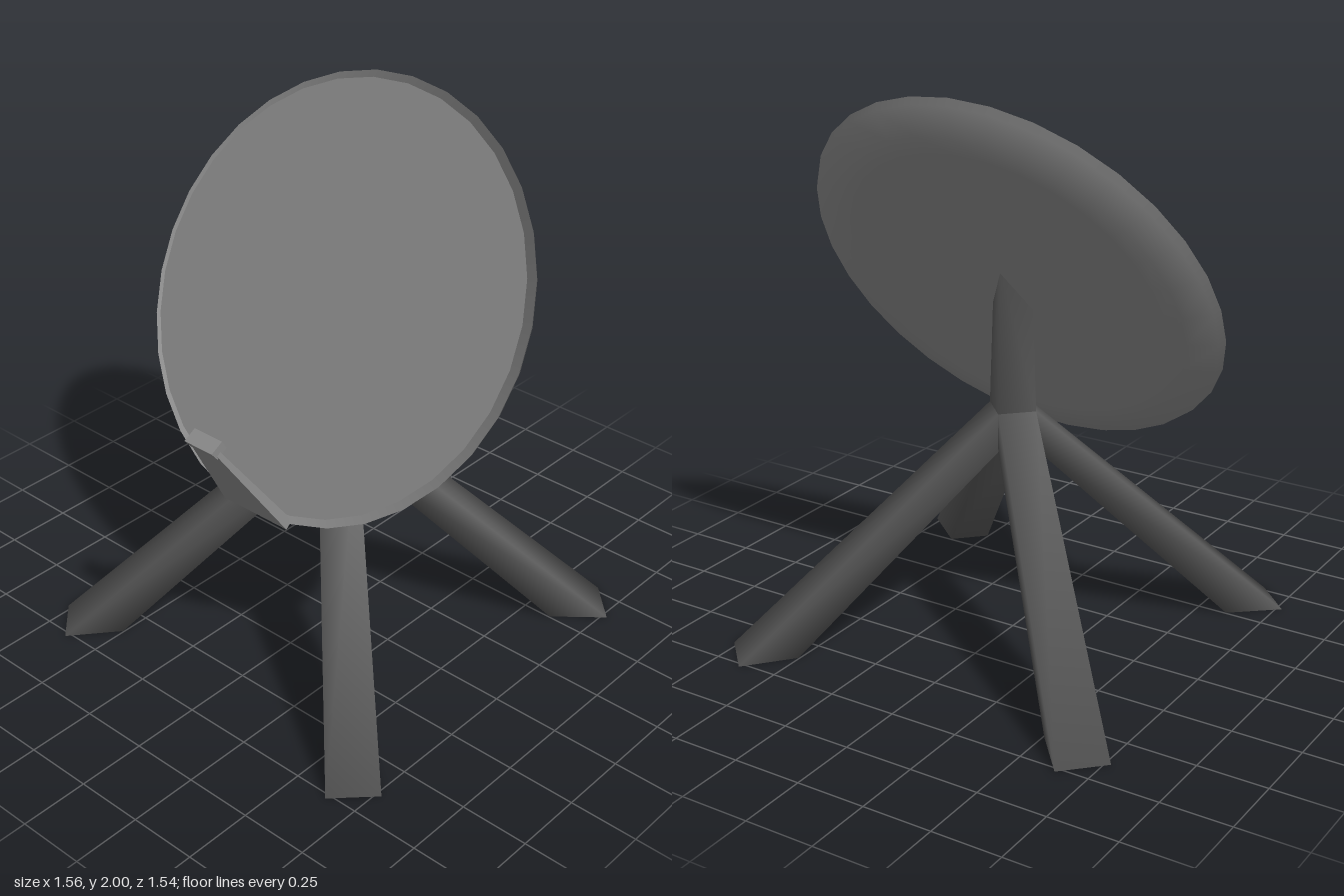
import * as THREE from 'three';
import { ConvexGeometry } from 'three/addons/geometries/ConvexGeometry.js';
import { mergeVertices } from 'three/addons/utils/BufferGeometryUtils.js';

const TILT = 1.038;                       // dish axis, leaning back from vertical
const CENTRE = { y: 1.334, z: 0.025 };    // middle of the dish face
const dishGrey = new THREE.MeshStandardMaterial({ color: 0x888888 });
const standGrey = new THREE.MeshStandardMaterial({ color: 0x555555 });

// Solid through mirrored cross-section points [halfWidth, y, z]
function solid(points) {
  const corners = points.flatMap(([w, y, z]) => [
    new THREE.Vector3(w, y, z), new THREE.Vector3(-w, y, z),
  ]);
  return new ConvexGeometry(corners);
}

// Share corners so the shading runs softly around the edges
function softened(geometry) {
  geometry.deleteAttribute('normal');
  const merged = mergeVertices(geometry);
  merged.computeVertexNormals();
  return merged;
}

function add(parent, name, geometry, material) {
  const mesh = new THREE.Mesh(geometry, material);
  mesh.name = name;
  parent.add(mesh);
  return mesh;
}

// Height of the plane lying a given depth behind the dish face
function dishHeight(z, depth) {
  return CENTRE.y + ((CENTRE.z - z) * Math.sin(TILT) - depth) / Math.cos(TILT);
}

// Back and rim of the dish; the rim shades on from the back up to the face
function shellGeometry() {
  const profile = [
    [0, -0.082], [0.6, -0.08], [0.665, -0.077],
    [0.765, -0.038], [0.778, -0.012], [0.75, 0],
  ].map(([r, y]) => new THREE.Vector2(r, y));
  const geometry = new THREE.LatheGeometry(profile, 32);
  const normal = geometry.attributes.normal;
  const last = profile.length - 1;
  for (let i = last; i < normal.count; i += profile.length) {
    const x = normal.getX(i - 2), y = normal.getY(i - 2), z = normal.getZ(i - 2);
    normal.setXYZ(i - 1, x, y, z);
    normal.setXYZ(i, x, y, z);
  }
  return geometry;
}

export function createModel() {
  const model = new THREE.Group();
  model.name = 'dishAntenna';

  // Dish: flat face in a thin shell with a bevelled rim
  const dish = new THREE.Group();
  dish.name = 'dish';
  dish.position.set(0, CENTRE.y, CENTRE.z);
  dish.rotation.x = TILT;
  model.add(dish);
  add(dish, 'dishShell', shellGeometry(), dishGrey);
  add(dish, 'dishFace', new THREE.CircleGeometry(0.75, 32, Math.PI / 2).rotateX(-Math.PI / 2), dishGrey);

  // Receiver arm: tapered plate rising from the lower rim
  add(model, 'receiverArm', solid([
    [0.145, 0.652, 0.415], [0.145, 0.675, 0.385],
    [0.06, 1.025, 0.65], [0.06, 1.035, 0.635],
  ]), dishGrey);

  // Receiver: small block at the arm's tip
  add(model, 'receiver', solid([
    [0.062, 1.003, 0.642], [0.062, 1.03, 0.6],
    [0.062, 1.062, 0.62], [0.062, 1.035, 0.668],
  ]), dishGrey);

  // Post: square, corners on the axes, top cut to meet the dish back
  const post = [];
  for (let i = 0; i < 4; i++) {
    const x = Math.sin(i * Math.PI / 2), z = Math.cos(i * Math.PI / 2);
    post.push(new THREE.Vector3(x * 0.095, 0.71, z * 0.095));
    post.push(new THREE.Vector3(x * 0.095, 0.85, z * 0.095));
    post.push(new THREE.Vector3(x * 0.08, dishHeight(z * 0.08, 0.07), z * 0.08));
  }
  add(model, 'post', softened(new ConvexGeometry(post)), standGrey);

  // Legs: four splayed beams, feet cut flat on the ground
  const legGeometry = softened(solid([
    [0.067, 0.85, 0.067], [0.067, 0.71, 0.067],
    [0.092, 0, 0.997], [0.074, 0, 0.787],
  ]));
  for (let i = 0; i < 4; i++) {
    add(model, 'leg', legGeometry, standGrey).rotation.y = Math.PI / 4 + i * Math.PI / 2;
  }

  return model;
}
